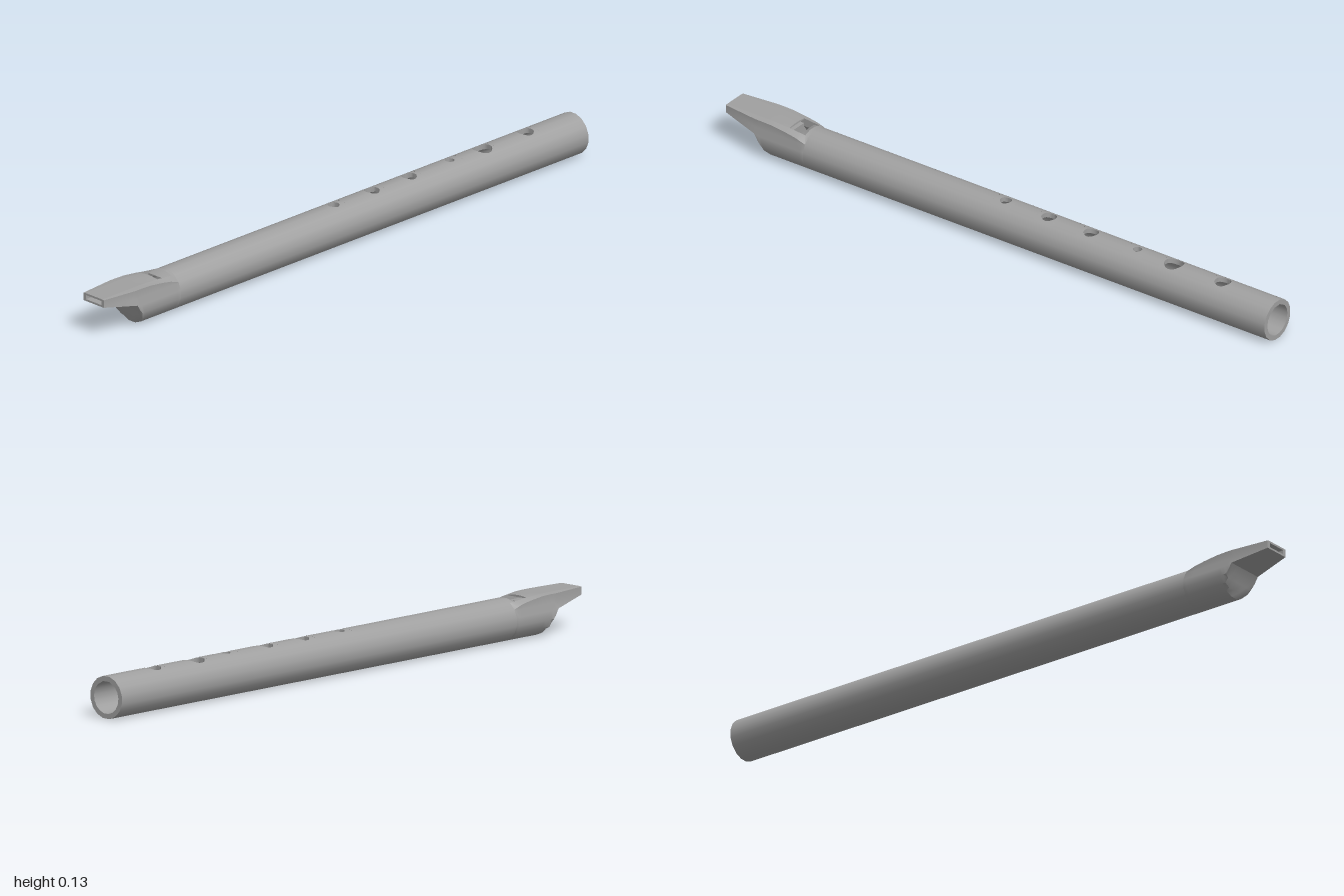
import * as THREE from 'three';
import { mergeGeometries, toCreasedNormals } from 'three/addons/utils/BufferGeometryUtils.js';

const C = 0.0635;              // height of the pipe axis
const R = 0.0647, B = 0.0495;  // outer and bore radius
const XS = 0.0359;             // half width of the top strip holding the holes
const XM = 0.0126;             // half width of the topmost facet
const HEAD = 0.70, RAMP = 0.712, EDGE = 0.735, BLOCK = 0.77;
const SLOT_LOW = 0.108, SLOT_HIGH = 0.121, SLOT_X = 0.032;
const STRIP = [-XS, -XM, XM, XS];
const rad = THREE.MathUtils.degToRad;
const clamp = THREE.MathUtils.clamp;

// Surface through rows of points; radial = 1 / -1 gives round normals out from / in to the axis
function grid(rows, flip = false, radial = 0) {
  const pos = [], nor = [];
  const tri = (a, b, c) => (flip ? [a, c, b] : [a, b, c]).forEach((p) => {
    pos.push(...p);
    const d = Math.hypot(p[0], p[1] - C) || 1;
    nor.push(radial * p[0] / d, radial * (p[1] - C) / d, 0);
  });
  for (let i = 0; i + 1 < rows.length; i++) {
    for (let j = 0; j + 1 < rows[i].length; j++) {
      const a = rows[i][j], b = rows[i + 1][j], c = rows[i][j + 1], d = rows[i + 1][j + 1];
      tri(a, b, c);
      tri(c, b, d);
    }
  }
  const g = new THREE.BufferGeometry();
  g.setAttribute('position', new THREE.Float32BufferAttribute(pos, 3));
  if (radial) {
    g.setAttribute('normal', new THREE.Float32BufferAttribute(nor, 3));
    return g;
  }
  return toCreasedNormals(g, 0.6);
}

// Height of the outer facets and of the bore at a given x
const outerY = (x) => {
  const a = Math.abs(x);
  return a < XM ? 0.127 : 0.127 - (a - XM) / (XS - XM) * 0.0097;
};
const boreY = (x) => C + Math.sqrt(B * B - x * x);

// Cross-section below the top strip, running from +x round the bottom to -x
function arc(r, z) {
  const start = Math.asin(XS / r), pts = [];
  for (let i = 0; i <= 13; i++) {
    const a = start + (2 * Math.PI - 2 * start) * i / 13;
    pts.push([r * Math.sin(a), C + r * Math.cos(a), z]);
  }
  return pts;
}
const strip = (yOf, z) => STRIP.map((x) => [x, yOf(x), z]);
const loop = (r, yOf, z) => [...strip(yOf, z), ...arc(r, z).slice(1)];

// Finger holes: z, radius
const HOLES = [[-0.8, 0.025], [-0.62, 0.03], [-0.485, 0.014], [-0.315, 0.023], [-0.16, 0.023], [0, 0.018]];

// Ring of points between a hole (s = 0) and its square surround (s = 1)
function holeRing(z, h, s, yOf) {
  const pts = [];
  for (let i = 0; i <= 24; i++) {
    const t = i / 24 * Math.PI * 2, c = Math.cos(t), n = Math.sin(t);
    const k = THREE.MathUtils.lerp(h, XS / Math.max(Math.abs(c), Math.abs(n)), s);
    const x = clamp(k * c, -XS, XS);
    pts.push([x, yOf(x), z + k * n]);
  }
  return pts;
}

// Top strip of the pipe with its holes
function holedStrip(yOf, zEnd, inside) {
  const parts = [], side = inside ? -1 : 1;
  let z0 = -1;
  for (const [z, h] of HOLES) {
    parts.push(grid([strip(yOf, z0), strip(yOf, z - XS)], inside, side));
    parts.push(grid([0, 0.5, 1].map((s) => holeRing(z, h, s, yOf)), !inside, side));
    z0 = z + XS;
  }
  parts.push(grid([strip(yOf, z0), strip(yOf, zEnd)], inside, side));
  return parts;
}

// Head sections: z, strip edge height, wing x, wing top, wing bottom, underside height, width scale
const SECTIONS = [
  [HEAD, 0.1173, 0.0538, 0.0995, 0.0994, 0, 1],
  [RAMP, 0.119, 0.056, 0.105, 0.098, 0, 1],
  [EDGE, 0.121, 0.056, 0.112, 0.098, 0, 1],
  [BLOCK, 0.124, 0.056, 0.118, 0.098, 0, 1],
  [0.82, 0.1265, 0.056, 0.124, 0.098, 0, 1],
  [0.84, 0.127, 0.056, 0.1245, 0.098, 0, 1],
  [0.85, 0.127, 0.056, 0.125, 0.098, 0.018, 1],
  [0.86, 0.127, 0.056, 0.125, 0.098, 0.04, 1],
  [0.868, 0.127, 0.056, 0.125, 0.098, 0.06, 1],
  [0.88, 0.127, 0.056, 0.125, 0.099, 0.08, 1],
  [1, 0.127, 0.0425, 0.126, 0.103, 0.102, 0.67],
];
function headSection([z, e, w, top, low, floor, k]) {
  const half = [[XS, e, z], [w, top, z], [w, low, z]];
  for (let a = 78.75; a < 180; a += 22.5) {
    half.push([R * k * Math.sin(rad(a)), Math.max(floor, C + R * Math.cos(rad(a))), z]);
  }
  return [...half, ...half.map(([x, y, q]) => [-x, y, q]).reverse()];
}
const headStrip = ([z, e]) => [[-XS, e, z], [-XM, 0.127, z], [XM, 0.127, z], [XS, e, z]];

export function createModel() {
  const group = new THREE.Group();
  const grey = new THREE.MeshStandardMaterial({ color: 0xa0a0a0, side: THREE.DoubleSide });
  grey.name = 'grey';
  const add = (name, ...geos) => {
    const mesh = new THREE.Mesh(mergeGeometries(geos), grey);
    mesh.name = name;
    group.add(mesh);
  };

  // Pipe
  add('pipe', grid([arc(R, -1), arc(R, HEAD)], false, 1), ...holedStrip(outerY, HEAD, false));
  add('bore', grid([arc(B, -1), arc(B, BLOCK)], true, -1), ...holedStrip(boreY, EDGE, true));
  add('endRim', grid([loop(R, outerY, -1), loop(B, boreY, -1)], true));
  add('fingerHoleWalls', ...HOLES.map(([z, h]) =>
    grid([holeRing(z, h, 0, outerY), holeRing(z, h, 0, boreY)])));

  // Mouthpiece shell, with its top left open at the window
  add('mouthpiece',
    grid(SECTIONS.map(headSection)),
    grid(SECTIONS.slice(0, 2).map(headStrip)),
    grid(SECTIONS.slice(3).map(headStrip)));

  // Tip face around the windway
  const tip = SECTIONS[SECTIONS.length - 1];
  const outline = [...headStrip(tip), ...headSection(tip).slice(1)];
  add('tipFace', grid([outline, outline.map(([x, y, z]) =>
    [clamp(x, -SLOT_X, SLOT_X), clamp(y, SLOT_LOW, SLOT_HIGH), z])]));

  // Windway running from the tip to the window
  const slot = (w, z) => [[-w, SLOT_HIGH, z], [w, SLOT_HIGH, z], [w, SLOT_LOW, z],
    [-w, SLOT_LOW, z], [-w, SLOT_HIGH, z]];
  add('windway', grid([slot(XS, BLOCK), slot(SLOT_X, 1)], true));

  // Sloping lip behind the window and its sharp edge
  add('lip',
    grid([headStrip(SECTIONS[1]), strip(() => 0.113, EDGE)]),
    grid([strip(() => 0.113, EDGE), strip(boreY, EDGE)]));

  // Side walls of the window
  const wall = (x) => grid([
    [[x, 0.119, RAMP], [x, 0.121, EDGE], [x, 0.121, EDGE], [x, 0.124, BLOCK]],
    [[x, 0.119, RAMP], [x, 0.113, EDGE], [x, boreY(x), EDGE], [x, boreY(x), BLOCK]],
  ], x < 0);
  add('windowWalls', wall(XS), wall(-XS));

  // Block closing the bore below the windway, and the roof end above it
  const plug = [...strip(() => SLOT_LOW, BLOCK), ...arc(B, BLOCK), [-XS, SLOT_LOW, BLOCK]];
  add('block',
    grid([plug, plug.map(() => [0, C, BLOCK])], true),
    grid([headStrip(SECTIONS[3]), strip(() => SLOT_HIGH, BLOCK)], true));

  return group;
}
